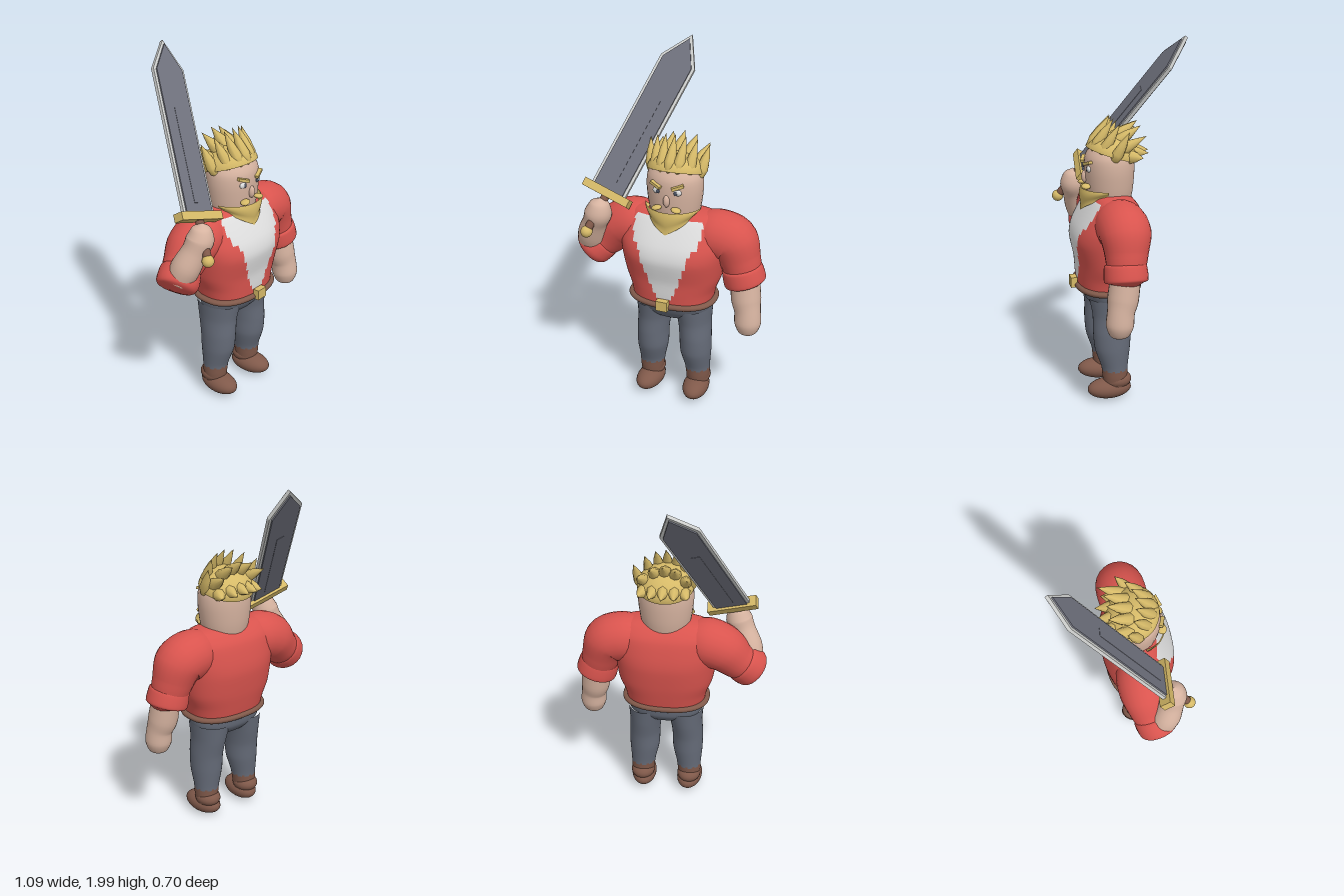
import * as THREE from 'three';

const V = (x, y, z) => new THREE.Vector3(x, y, z);
const CX = 0.03; // body midline

const mat = (name, color, side = THREE.FrontSide) => {
  const m = new THREE.MeshStandardMaterial({ color, side });
  m.name = name;
  return m;
};
const red = mat('jacket red', 0xd9544e), white = mat('shirt white', 0xdedede), skin = mat('skin', 0xd6b3a0);
const gold = mat('gold', 0xd6ba68, THREE.DoubleSide), denim = mat('trouser grey', 0x666c79), brown = mat('leather brown', 0x80594a);
const steel = mat('blade grey', 0x70727e), edge = mat('blade edge', 0xcfd0ce), dark = mat('pupil', 0x4a5264);

function add(parent, name, geo, material) {
  const m = new THREE.Mesh(geo, material);
  m.name = name;
  parent.add(m);
  return m;
}

// Smooth closed surface from rows of rings; pick(i, j, centre) chooses a material index per quad
function grid(rows, seg, point, pick) {
  const pos = [], faces = [[], []], pts = [];
  for (let i = 0; i <= rows; i++) for (let j = 0; j < seg; j++) {
    const p = point(i / rows, (j / seg) * Math.PI * 2);
    pts.push(p);
    pos.push(p.x, p.y, p.z);
  }
  for (let i = 0; i < rows; i++) for (let j = 0; j < seg; j++) {
    const k = (j + 1) % seg, a = i * seg + j, b = i * seg + k, c = b + seg, d = a + seg;
    const mid = pts[a].clone().add(pts[c]).multiplyScalar(0.5);
    faces[pick ? pick(i, j, mid) : 0].push(a, b, c, a, c, d);
  }
  const g = new THREE.BufferGeometry();
  g.setAttribute('position', new THREE.Float32BufferAttribute(pos, 3));
  g.setIndex(faces.flat());
  if (pick) {
    g.addGroup(0, faces[0].length, 0);
    g.addGroup(faces[0].length, faces[1].length, 1);
  }
  g.computeVertexNormals();
  return g;
}

// Upright loft through [y, x, z, rx, rz] stations, listed from bottom to top
function loft(st, { rows = 24, seg = 32, power = 2, pick } = {}) {
  const c = new THREE.CatmullRomCurve3(st.map(s => V(s[1], s[0], s[2])), false, 'catmullrom', 0.4);
  const r = new THREE.CatmullRomCurve3(st.map(s => V(s[3], s[4], 0)), false, 'catmullrom', 0.4);
  const bend = v => Math.sign(v) * Math.pow(Math.abs(v), 2 / power);
  return grid(rows, seg, (t, a) => {
    const p = c.getPoint(t), q = r.getPoint(t);
    return V(p.x + Math.max(q.x, 0) * bend(Math.sin(a)), p.y, p.z + Math.max(q.y, 0) * bend(Math.cos(a)));
  }, pick);
}

// Round limb swept through [x, y, z, radius] stations
function limb(st, rows = 24, seg = 24) {
  const c = new THREE.CatmullRomCurve3(st.map(s => V(s[0], s[1], s[2])), false, 'catmullrom', 0.4);
  const r = new THREE.CatmullRomCurve3(st.map(s => V(s[3], 0, 0)), false, 'catmullrom', 0.3);
  c.getPointAt = c.getPoint;
  c.getTangentAt = c.getTangent;
  const f = c.computeFrenetFrames(rows, false);
  return grid(rows, seg, (t, a) => {
    const i = Math.round(t * rows), rad = Math.max(r.getPoint(t).x, 0);
    return c.getPoint(t).addScaledVector(f.normals[i], rad * Math.cos(a)).addScaledVector(f.binormals[i], rad * Math.sin(a));
  });
}

function ball(parent, name, material, p, s, rotZ = 0) {
  const m = add(parent, name, new THREE.SphereGeometry(1, 24, 16), material);
  m.position.set(...p);
  m.scale.set(...s);
  m.rotation.z = rotZ;
  return m;
}

// Teardrop hair spike from base to tip
function spike(parent, base, tip, r) {
  const len = base.distanceTo(tip);
  const prof = [[0, 0], [0.7, 0.08], [1, 0.28], [0.7, 0.6], [0, 1]].map(([x, y]) => new THREE.Vector2(x * r, y * len));
  const m = add(parent, 'hairSpike', new THREE.LatheGeometry(prof, 8), gold);
  m.position.copy(base);
  m.quaternion.setFromUnitVectors(V(0, 1, 0), tip.clone().sub(base).normalize());
}

function buildHead() {
  const g = new THREE.Group();
  g.name = 'head';
  add(g, 'skull', loft([[1.05, CX, 0.11, 0.11, 0.09], [1.12, CX, 0.11, 0.128, 0.115], [1.2, CX, 0.11, 0.145, 0.13],
    [1.3, CX, 0.11, 0.156, 0.137], [1.38, CX, 0.11, 0.148, 0.13], [1.45, CX, 0.11, 0.09, 0.08], [1.47, CX, 0.11, 0, 0]]), skin);
  ball(g, 'nose', skin, [CX, 1.265, 0.245], [0.018, 0.035, 0.02]);
  for (const s of [-1, 1]) {
    ball(g, 'eye', white, [CX + s * 0.056, 1.317, 0.234], [0.025, 0.018, 0.012]);
    ball(g, 'pupil', dark, [CX + s * 0.05, 1.315, 0.243], [0.01, 0.012, 0.006]);
    const brow = add(g, 'brow', new THREE.BoxGeometry(0.066, 0.016, 0.03), gold);
    brow.position.set(CX + s * 0.06, 1.35, 0.238);
    brow.rotation.set(0, s * 0.35, s * 0.32);
    ball(g, 'moustache', gold, [CX + s * 0.055, 1.222, 0.25], [0.028, 0.013, 0.025], -s * 0.2);
  }
  // Beard wraps the jaw and falls to a point
  const beard = new THREE.PlaneGeometry(2, 1, 24, 8), p = beard.attributes.position;
  for (let i = 0; i < p.count; i++) {
    const s = p.getX(i), t = 0.5 - p.getY(i), a = s * 1.35;
    const puff = 0.012 * Math.sin(Math.PI * Math.min(t + 0.25, 1));
    p.setXYZ(i, CX + (0.152 + puff - 0.012 * t) * Math.sin(a), 1.205 - t * (0.13 - 0.105 * Math.abs(s)), 0.11 + (0.15 + puff + 0.012 * t) * Math.cos(a));
  }
  beard.computeVertexNormals();
  add(g, 'beard', beard, gold);

  // Hair cap tilted back, then three rows of spikes
  const cap = add(g, 'hairCap', new THREE.SphereGeometry(1, 32, 12, 0, Math.PI * 2, 0, Math.PI / 2), gold);
  cap.position.set(CX, 1.385, 0.095);
  cap.scale.set(0.158, 0.11, 0.148);
  cap.rotation.x = -0.3;
  for (let i = -3; i <= 3; i++) {
    const q = i * i;
    spike(g, V(CX + i * 0.045, 1.415 - q * 0.006, 0.225 - q * 0.012), V(CX + i * 0.056, 1.595 - q * 0.007, 0.105 - q * 0.008), 0.033);
  }
  for (let i = -2; i <= 2; i++) {
    const q = i * i;
    spike(g, V(CX + i * 0.05, 1.445 - q * 0.012, 0.11), V(CX + i * 0.068, 1.56 - q * 0.015, -0.045 - q * 0.005), 0.038);
    spike(g, V(CX + i * 0.05, 1.41 - q * 0.006, 0.04), V(CX + i * 0.068, 1.395 - q * 0.004, -0.11 + q * 0.015), 0.038);
  }
  return g;
}

function buildBody() {
  const g = new THREE.Group();
  g.name = 'body';
  // Jacket with the shirt showing in a stepped wedge
  const shirtHalf = y => (y > 1.02 ? 0.19 : y > 0.85 ? 0.105 + (y - 0.85) * 0.3 : 0.035 + (y - 0.68) * 0.41);
  const torso = loft([[0.65, CX, 0.13, 0.225, 0.165], [0.72, CX, 0.125, 0.24, 0.175], [0.8, CX, 0.12, 0.27, 0.185],
    [0.92, CX, 0.125, 0.29, 0.203], [1.0, CX, 0.12, 0.3, 0.19], [1.1, CX, 0.105, 0.29, 0.147],
    [1.165, CX, 0.11, 0.23, 0.09], [1.19, CX, 0.11, 0, 0]],
  { rows: 32, seg: 96, power: 2.4, pick: (i, j, m) => (m.z > 0.12 && m.y > 0.69 && m.y < 1.15 && Math.abs(m.x - CX) < shirtHalf(m.y) ? 1 : 0) });
  add(g, 'jacket', torso, [red, white]);
  add(g, 'belt', loft([[0.63, CX, 0.13, 0, 0], [0.632, CX, 0.13, 0.226, 0.165], [0.668, CX, 0.13, 0.234, 0.171], [0.67, CX, 0.13, 0, 0]],
    { power: 2.4, seg: 48 }), brown);
  add(g, 'buckle', new THREE.BoxGeometry(0.066, 0.058, 0.035), gold).position.set(CX, 0.668, 0.318);
  add(g, 'hips', loft([[0.5, CX, 0.12, 0, 0], [0.53, CX, 0.12, 0.13, 0.09], [0.58, CX, 0.12, 0.21, 0.135], [0.65, CX, 0.13, 0.222, 0.158]],
    { power: 2.2 }), denim);
  // Legs with ragged hems over the boots
  for (const s of [-1, 1]) {
    const x = o => CX + s * o;
    add(g, 'leg', loft([[0.07, x(0.14), 0.11, 0.06, 0.065], [0.14, x(0.14), 0.113, 0.068, 0.07], [0.2, x(0.137), 0.115, 0.073, 0.075],
      [0.3, x(0.13), 0.125, 0.088, 0.098], [0.4, x(0.128), 0.125, 0.09, 0.107], [0.5, x(0.12), 0.115, 0.094, 0.118], [0.6, x(0.11), 0.115, 0.11, 0.135]],
    { rows: 40, pick: (i, j, m) => (m.y < 0.175 + (j % 3 === 0 ? 0.014 : 0) ? 1 : 0) }), [denim, brown]);
    const shoe = ball(g, 'shoe', brown, [x(0.14), 0.065, 0.145], [0.074, 0.058, 0.126]);
    shoe.rotation.y = s * 0.08;
    ball(g, 'bootAnkle', brown, [x(0.14), 0.115, 0.1], [0.07, 0.05, 0.08]);
  }
  return g;
}

function buildArms() {
  const g = new THREE.Group();
  g.name = 'arms';
  // Left arm hangs down
  add(g, 'leftSleeve', limb([[0.1, 1.04, 0.11, 0.09], [0.25, 1.045, 0.1, 0.138], [0.355, 1.02, 0.095, 0.138], [0.4, 0.92, 0.1, 0.115], [0.43, 0.82, 0.11, 0.098]]), red);
  add(g, 'leftCuff', limb([[0.412, 0.885, 0.11, 0.085], [0.416, 0.87, 0.11, 0.112], [0.434, 0.805, 0.11, 0.118], [0.44, 0.785, 0.11, 0.105], [0.44, 0.784, 0.11, 0]]), red);
  add(g, 'leftForearm', limb([[0.435, 0.84, 0.11, 0.08], [0.45, 0.7, 0.13, 0.083], [0.465, 0.63, 0.145, 0.073], [0.47, 0.56, 0.152, 0.074], [0.47, 0.505, 0.155, 0.052], [0.47, 0.482, 0.155, 0]]), skin);
  // Right arm is bent up to hold the sword
  add(g, 'rightSleeve', limb([[-0.04, 1.04, 0.11, 0.09], [-0.19, 1.045, 0.1, 0.138], [-0.29, 1.01, 0.1, 0.135], [-0.37, 0.935, 0.115, 0.112], [-0.44, 0.88, 0.14, 0.095]]), red);
  add(g, 'rightCuff', limb([[-0.385, 0.925, 0.12, 0.085], [-0.4, 0.912, 0.125, 0.112], [-0.445, 0.872, 0.145, 0.116], [-0.468, 0.85, 0.155, 0.1], [-0.485, 0.834, 0.16, 0]]), red);
  add(g, 'rightForearm', limb([[-0.445, 0.9, 0.16, 0.078], [-0.43, 0.98, 0.195, 0.08], [-0.395, 1.07, 0.225, 0.07], [-0.37, 1.13, 0.238, 0.075], [-0.36, 1.19, 0.24, 0.052], [-0.358, 1.22, 0.24, 0]]), skin);
  return g;
}

// Pointed blade outline, inset by d, extruded about its middle plane
function bladePlate(d, depth) {
  const w = 0.106 - d, s = new THREE.Shape();
  s.moveTo(-w, 0);
  s.lineTo(w, 0);
  s.lineTo(w, 0.81 - d * 0.4);
  s.lineTo(0, 0.975 - d * 1.6);
  s.lineTo(-w, 0.81 - d * 0.4);
  return new THREE.ExtrudeGeometry(s, { depth, bevelEnabled: false }).translate(0, 0, -depth / 2);
}

function buildSword() {
  const g = new THREE.Group();
  g.name = 'sword';
  add(g, 'bladeEdge', bladePlate(0, 0.02), edge);
  add(g, 'bladeFace', bladePlate(0.016, 0.036), steel);
  add(g, 'bladePanel', new THREE.BoxGeometry(0.05, 0.52, 0.04), steel).position.y = 0.33;
  add(g, 'guard', new THREE.BoxGeometry(0.285, 0.045, 0.065), gold);
  add(g, 'handle', new THREE.CylinderGeometry(0.023, 0.023, 0.23, 16), brown).position.y = -0.115;
  ball(g, 'pommel', gold, [0, -0.237, 0], [0.033, 0.033, 0.033]);
  const up = V(0.304, 0.78, -0.546).normalize(), side = V(0.197, -0.06, 0.024);
  side.addScaledVector(up, -side.dot(up)).normalize();
  g.quaternion.setFromRotationMatrix(new THREE.Matrix4().makeBasis(side, up, side.clone().cross(up)));
  g.position.set(-0.333, 1.232, 0.195);
  return g;
}

export function createModel() {
  const model = new THREE.Group();
  model.name = 'swordsman';
  model.add(buildBody(), buildArms(), buildHead(), buildSword());
  return model;
}
